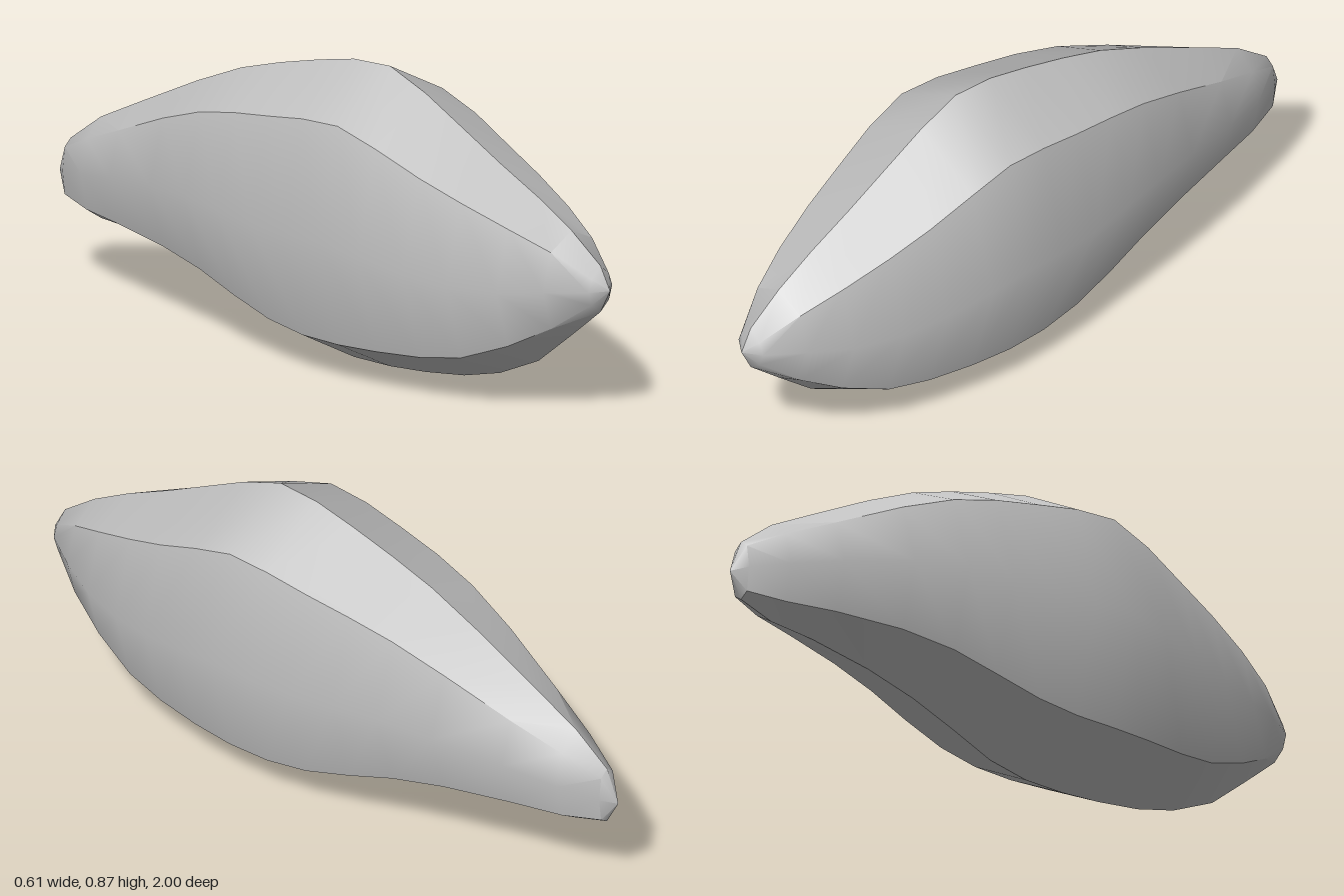
import * as THREE from 'three';
import { toCreasedNormals } from 'three/addons/utils/BufferGeometryUtils.js';

// Cross-sections from nose to tail: z, ridge y, shoulder y, chine y, keel y, half width
const STATIONS = [
  [0.965, 0.46, 0.428, 0.353, 0.325, 0.05],
  [0.86, 0.54, 0.497, 0.275, 0.235, 0.12],
  [0.74, 0.61, 0.55, 0.21, 0.135, 0.178],
  [0.6, 0.68, 0.605, 0.155, 0.07, 0.228],
  [0.47, 0.75, 0.655, 0.135, 0.035, 0.262],
  [0.33, 0.825, 0.715, 0.127, 0.015, 0.291],
  [0.2, 0.877, 0.757, 0.122, 0.004, 0.305],
  [0.07, 0.87, 0.75, 0.122, 0.003, 0.301],
  [-0.06, 0.84, 0.728, 0.138, 0.025, 0.289],
  [-0.2, 0.802, 0.705, 0.175, 0.08, 0.27],
  [-0.34, 0.757, 0.672, 0.215, 0.13, 0.243],
  [-0.5, 0.685, 0.612, 0.24, 0.17, 0.202],
  [-0.7, 0.583, 0.522, 0.25, 0.2, 0.139],
  [-0.85, 0.505, 0.456, 0.25, 0.21, 0.085],
  [-0.96, 0.42, 0.4, 0.262, 0.245, 0.035],
];
const SHOULDER = 0.73; // shoulder width relative to the widest line

// Eight-sided ring, running from the ridge down the left side and back up the right
function ring([z, ridge, shoulder, chine, keel, w]) {
  const mid = (ridge + keel) / 2;
  const s = w * SHOULDER;
  return [
    [0, ridge, z], [s, shoulder, z], [w, mid, z], [s, chine, z],
    [0, keel, z], [-s, chine, z], [-w, mid, z], [-s, shoulder, z],
  ];
}

function hullGeometry() {
  const rings = STATIONS.map(ring);
  const nose = [0, 0.393, 1];
  const tail = [0, 0.32, -1];
  const positions = [];
  const tri = (...corners) => corners.forEach((p) => positions.push(...p));
  const last = rings.length - 1;

  for (let j = 0; j < 8; j++) {
    const k = (j + 1) % 8;
    tri(nose, rings[0][k], rings[0][j]);
    tri(tail, rings[last][j], rings[last][k]);
    for (let i = 0; i < last; i++) {
      const a = rings[i][j], b = rings[i][k];
      const c = rings[i + 1][j], d = rings[i + 1][k];
      // Mirror the diagonal so both sides match
      if (j < 4) {
        tri(a, b, c);
        tri(b, d, c);
      } else {
        tri(a, b, d);
        tri(a, d, c);
      }
    }
  }
  const geometry = new THREE.BufferGeometry();
  geometry.setAttribute('position', new THREE.Float32BufferAttribute(positions, 3));
  // Flanks stay smooth; ridge, shoulders, chines and keel stay sharp
  return toCreasedNormals(geometry, THREE.MathUtils.degToRad(37));
}

// Orient every cap and side face outward from the hull's centre line
function faceOutward(geometry) {
  const p = geometry.attributes.position;
  const a = new THREE.Vector3(), b = new THREE.Vector3(), c = new THREE.Vector3();
  const n = new THREE.Vector3(), m = new THREE.Vector3();
  for (let i = 0; i < p.count; i += 3) {
    a.fromBufferAttribute(p, i);
    b.fromBufferAttribute(p, i + 1);
    c.fromBufferAttribute(p, i + 2);
    m.copy(a).add(b).add(c).divideScalar(3).sub(new THREE.Vector3(0, 0.4, 0));
    n.copy(b).sub(a).cross(c.sub(a));
    if (n.dot(m) < 0) {
      const third = new THREE.Vector3().fromBufferAttribute(p, i + 2);
      p.setXYZ(i + 1, third.x, third.y, third.z);
      p.setXYZ(i + 2, b.x, b.y, b.z);
    }
  }
  return toCreasedNormals(geometry, THREE.MathUtils.degToRad(37));
}

export function createModel() {
  const group = new THREE.Group();
  group.name = 'facetedHull';

  const grey = new THREE.MeshStandardMaterial({ color: 0xc0c0c0 });
  grey.name = 'light grey';

  const hull = new THREE.Mesh(faceOutward(hullGeometry()), grey);
  hull.name = 'hull';
  group.add(hull);
  return group;
}
